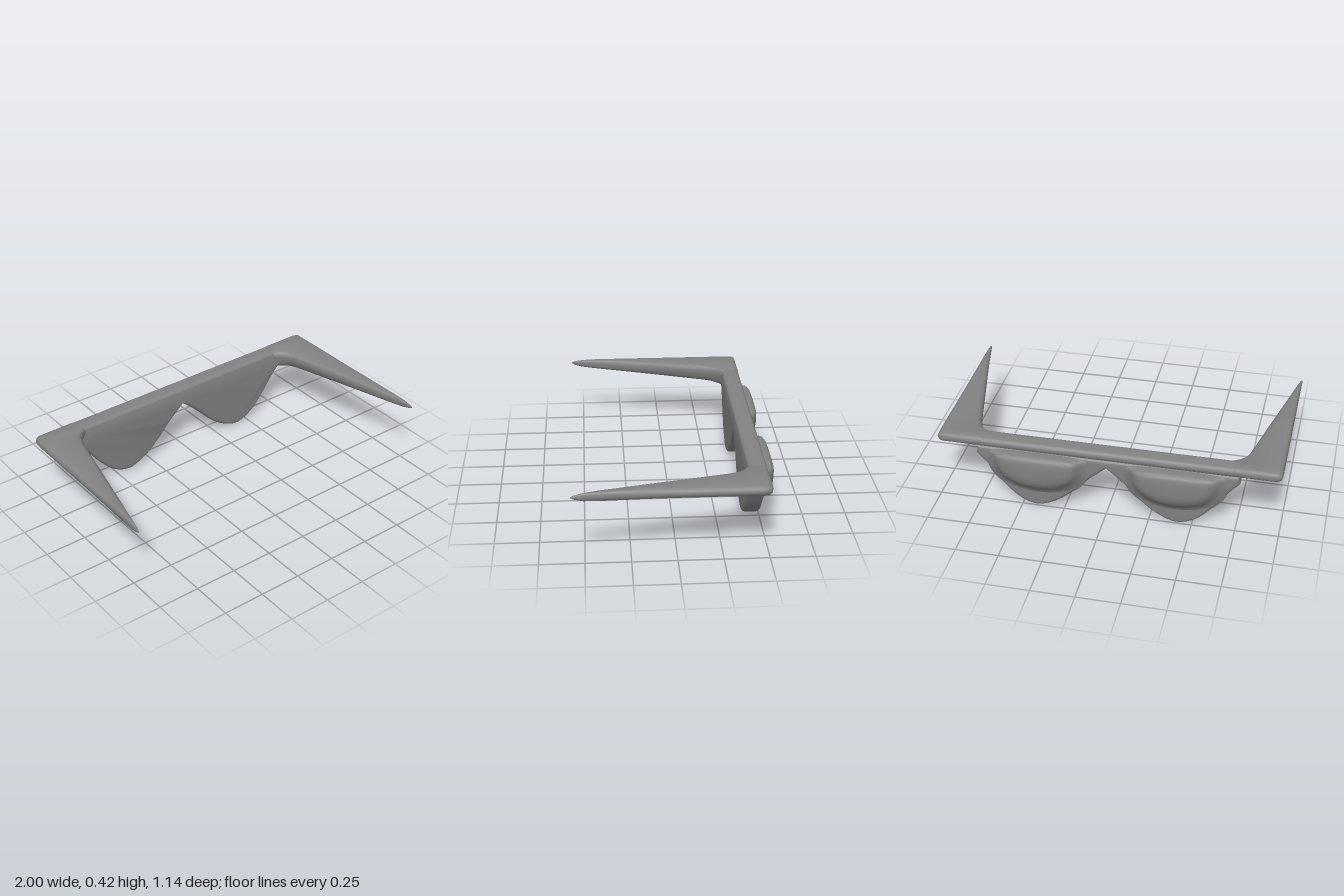
import * as THREE from 'three';
import { toCreasedNormals } from 'three/addons/utils/BufferGeometryUtils.js';

const material = new THREE.MeshStandardMaterial({ color: 0x828282 });

// Closed skin over rings of equal point count, with fan caps on both ends
function loft(rings, flip) {
  const n = rings[0].length;
  const pos = rings.flat(2);
  const idx = [];
  const tri = (a, b, c) => (flip ? idx.push(a, c, b) : idx.push(a, b, c));
  for (let i = 0; i < rings.length - 1; i++) {
    for (let j = 0; j < n; j++) {
      const a = i * n + j, b = i * n + (j + 1) % n;
      tri(a, b, b + n);
      tri(a, b + n, a + n);
    }
  }
  [0, rings.length - 1].forEach((r, end) => {
    const c = pos.length / 3;
    for (let k = 0; k < 3; k++) pos.push(rings[r].reduce((s, p) => s + p[k], 0) / n);
    for (let j = 0; j < n; j++) {
      const a = r * n + j, b = r * n + (j + 1) % n;
      if (end) tri(a, b, c);
      else tri(b, a, c);
    }
  });
  const g = new THREE.BufferGeometry();
  g.setAttribute('position', new THREE.Float32BufferAttribute(pos, 3));
  g.setIndex(idx);
  return toCreasedNormals(g, 1);
}

function part(name, geometry) {
  const mesh = new THREE.Mesh(geometry, material);
  mesh.name = name;
  return mesh;
}

// Lower edge of one lens, from the bridge to the hinge
const lensEdge = new THREE.SplineCurve([
  [0, 0.312], [0.1, 0.225], [0.2, 0.12], [0.3, 0.042], [0.41, 0.001],
  [0.515, 0.035], [0.61, 0.125], [0.7, 0.245], [0.765, 0.318],
].map(([x, y]) => new THREE.Vector2(x, y)));

// Arm stations: z, inner x, outer x, inner bottom y, top y
const armStations = [
  [-0.508, 0.72, 0.965, 0.385, 0.408], [-0.501, 0.71, 0.988, 0.376, 0.42],
  [-0.485, 0.70, 0.998, 0.368, 0.425], [-0.45, 0.70, 1, 0.34, 0.425],
  [-0.405, 0.70, 1, 0.308, 0.425], [-0.385, 0.735, 1, 0.308, 0.425],
  [-0.35, 0.767, 1, 0.311, 0.425], [-0.3, 0.787, 1, 0.315, 0.425],
  [-0.2, 0.812, 1, 0.321, 0.425], [0, 0.859, 1, 0.334, 0.425],
  [0.2, 0.907, 1, 0.347, 0.424], [0.4, 0.954, 1, 0.361, 0.42],
  [0.5, 0.977, 1, 0.371, 0.414], [0.55, 0.988, 1, 0.383, 0.405],
  [0.568, 0.994, 0.998, 0.392, 0.398],
];

// Rounded section whose inner face leans outward toward the bottom
function armRing([z, xi, xo, yb, yt]) {
  const w = xo - xi, h = yt - yb, r = Math.min(0.03, w * 0.25);
  const yo = Math.max(yb, 0.367), t = yt - yo, xl = xi + w * 0.12;
  return [
    [xo, yo + t * 0.5], [xo - r * 0.2, yt - t * 0.22], [xo - r * 0.5, yt - t * 0.07],
    [xo - r, yt], [xi + r, yt], [xi + r * 0.4, yt - h * 0.07], [xi, yt - h * 0.25],
    [xl, yb + h * 0.25], [xl + r * 0.3, yb + h * 0.07], [xl + r, yb],
    [xo - r, yo], [xo - r * 0.5, yo + t * 0.07], [xo - r * 0.2, yo + t * 0.22],
  ].map(([x, y]) => [x, y, z]);
}

// Swollen back of a lens: depth z, half width, height, top y
const padLevels = [
  [-0.492, 0.31, 0.29, 0.366], [-0.502, 0.295, 0.268, 0.366], [-0.509, 0.275, 0.25, 0.366],
  [-0.522, 0.254, 0.235, 0.366], [-0.54, 0.238, 0.214, 0.366], [-0.552, 0.224, 0.194, 0.362],
  [-0.561, 0.202, 0.168, 0.354], [-0.567, 0.17, 0.135, 0.341], [-0.57, 0.12, 0.09, 0.32],
  [-0.571, 0.05, 0.04, 0.295],
];

// Half ellipse hanging from a flat, softly cornered top
function padRing([z, a, b, top]) {
  const up = Math.min(0.04, b * 0.3);
  return Array.from({ length: 48 }, (_, i) => {
    const t = (i / 48) * Math.PI * 2, c = Math.cos(t), s = Math.sin(t);
    const p = s > 0 ? 0.5 : 0.9;
    const x = 0.4 + a * Math.sign(c) * Math.abs(c) ** p;
    const y = top - up + Math.sign(s) * Math.abs(s) ** p * (s > 0 ? up : b - up);
    return [x, y, z];
  });
}

export function createModel() {
  const model = new THREE.Group();
  model.name = 'glasses';

  // Brow bar: flush with the lenses in front, rounded along the back
  const s = new THREE.Shape();
  s.moveTo(0.4, 0.32);
  s.lineTo(0.4, 0.4);
  s.quadraticCurveTo(0.402, 0.425, 0.43, 0.425);
  s.lineTo(0.482, 0.425);
  s.bezierCurveTo(0.517, 0.425, 0.517, 0.368, 0.482, 0.368);
  s.lineTo(0.44, 0.362);
  s.lineTo(0.44, 0.32);
  s.closePath();
  const bar = new THREE.ExtrudeGeometry(s, { depth: 1.5, bevelEnabled: false, curveSegments: 10 });
  bar.translate(0, 0, -0.75).rotateY(Math.PI / 2);
  model.add(part('browBar', toCreasedNormals(bar, 0.6)));

  // Lens pair: one plate with a soft rim and a cusp at the bridge
  const edge = lensEdge.getPoints(40);
  const plate = new THREE.Shape([
    ...edge.slice(1).reverse().map((p) => new THREE.Vector2(-p.x, p.y)),
    ...edge,
    new THREE.Vector2(0.76, 0.37), new THREE.Vector2(-0.76, 0.37),
  ]);
  const lens = new THREE.ExtrudeGeometry(plate, {
    depth: 0.053, bevelThickness: 0.025, bevelSize: 0.022, bevelOffset: -0.022, bevelSegments: 10,
  });
  lens.translate(0, 0, -0.478);
  model.add(part('lensPlate', toCreasedNormals(lens, 0.6)));

  for (const side of [1, -1]) {
    const prefix = side > 0 ? 'left' : 'right';
    const mirrored = (ring) => ring.map(([x, y, z]) => [side * x, y, z]);
    // Pad on the back of the lens
    model.add(part(prefix + 'LensPad', loft(padLevels.map(padRing).map(mirrored), side > 0)));
    // Arm: broad at the hinge, tapering to a point in front
    model.add(part(prefix + 'Arm', loft(armStations.map(armRing).map(mirrored), side < 0)));
  }
  return model;
}
